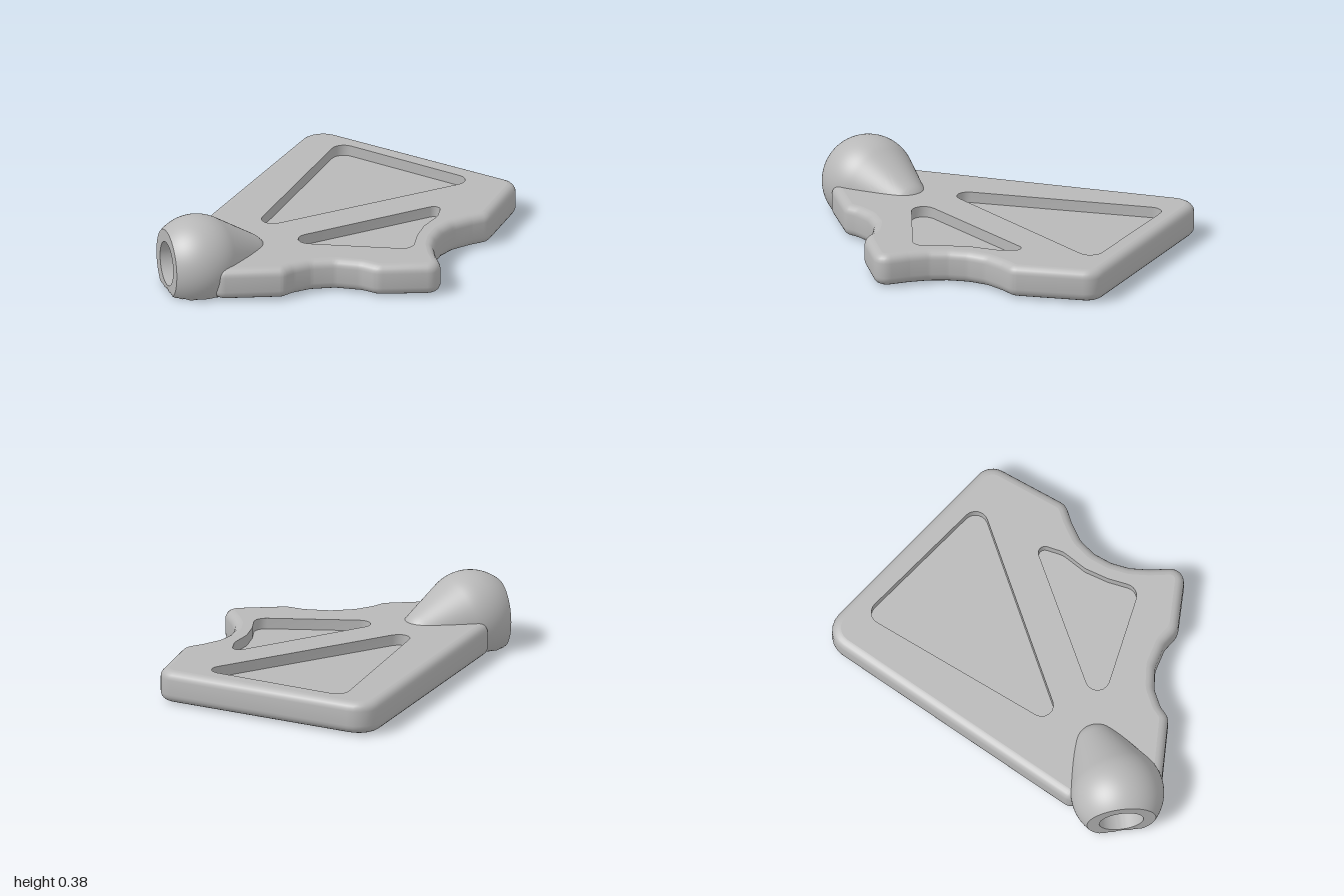
import * as THREE from 'three';
import { toCreasedNormals } from 'three/addons/utils/BufferGeometryUtils.js';

const V2 = (x, y) => new THREE.Vector2(x, y);

// Closed polygon of [x, z, radius] corners, each replaced by a circular arc
function roundPolygon(corners, steps = 6) {
  const out = [];
  const n = corners.length;
  corners.forEach(([x, z, radius = 0.1], i) => {
    const p = V2(x, z);
    const toPrev = V2(...corners[(i + n - 1) % n].slice(0, 2)).sub(p);
    const toNext = V2(...corners[(i + 1) % n].slice(0, 2)).sub(p);
    const reach = 0.45 * Math.min(toPrev.length(), toNext.length());
    toPrev.normalize();
    toNext.normalize();
    const half = Math.acos(THREE.MathUtils.clamp(toPrev.dot(toNext), -1, 1)) / 2;
    const t = Math.min(radius / Math.tan(half), reach);
    const r = t * Math.tan(half);
    const centre = toPrev.clone().add(toNext).normalize().multiplyScalar(r / Math.sin(half)).add(p);
    const start = p.clone().addScaledVector(toPrev, t).sub(centre);
    const end = p.clone().addScaledVector(toNext, t).sub(centre);
    const sweep = Math.atan2(start.cross(end), start.dot(end));
    for (let k = 0; k <= steps; k++) {
      out.push(start.clone().rotateAround(V2(0, 0), sweep * k / steps).add(centre));
    }
  });
  return out;
}

// Moves a contour inward by d
function inset(points, d) {
  const n = points.length;
  return points.map((p, i) => {
    const a = p.clone().sub(points[(i + n - 1) % n]).normalize();
    const b = points[(i + 1) % n].clone().sub(p).normalize();
    const m = V2(-a.y - b.y, a.x + b.x).normalize();
    return p.clone().addScaledVector(m, d / Math.max(0.5, -m.x * a.y + m.y * a.x));
  });
}

const ringAt = (points, y) => points.map((p) => new THREE.Vector3(p.x, y, p.y));

// Skin over a list of closed rings with equal point counts
function loft(rings, crease = 0.6) {
  const pos = [];
  const n = rings[0].length;
  for (let i = 0; i < rings.length - 1; i++) {
    for (let j = 0; j < n; j++) {
      const k = (j + 1) % n;
      const a = rings[i][j], b = rings[i][k], c = rings[i + 1][k], d = rings[i + 1][j];
      for (const v of [a, d, b, b, d, c]) pos.push(v.x, v.y, v.z);
    }
  }
  const g = new THREE.BufferGeometry();
  g.setAttribute('position', new THREE.Float32BufferAttribute(pos, 3));
  return toCreasedNormals(g, crease);
}

// Flat horizontal face, looking up or down
function flat(points, y, up = true, holes = []) {
  const s = up ? -1 : 1;
  const conv = (pts) => pts.map((p) => V2(p.x, s * p.y));
  const shape = new THREE.Shape(conv(points));
  holes.forEach((h) => shape.holes.push(new THREE.Path(conv(h))));
  return new THREE.ShapeGeometry(shape).rotateX(s * Math.PI / 2).translate(0, y, 0);
}

// Ball blended into a small tip ball, cut flat at the end and below, with a blind bore
function knobGeometry() {
  const C = new THREE.Vector3(-0.84, 0.145, 0.43), R = 0.24;
  const tip = new THREE.Vector3(-0.57, 0.1, 0.36), r = 0.13;
  const axis = tip.clone().sub(C);
  const L = axis.length();
  axis.normalize();
  const beta = Math.acos((R - r) / L);
  const touch = Math.atan2(r * Math.sin(beta), L + r * Math.cos(beta));
  const cut = 0.16, bore = 0.115, depth = 0.1, seg = 72;

  const surface = (dir) => {
    const a = Math.acos(THREE.MathUtils.clamp(dir.dot(axis), -1, 1));
    let d = R;
    if (a < touch) d = L * Math.cos(a) + Math.sqrt(Math.max(0, r * r - (L * Math.sin(a)) ** 2));
    else if (a < beta) d = R / Math.cos(beta - a);
    if (dir.x < 0) d = Math.min(d, cut / -dir.x);
    if (dir.y < 0) d = Math.min(d, C.y / -dir.y);
    return dir.clone().multiplyScalar(d).add(C);
  };
  const ring = (fn) => Array.from({ length: seg }, (_, j) => {
    const f = j / seg * Math.PI * 2;
    return fn(Math.cos(f), -Math.sin(f));
  });
  const boreRing = (x, rad) => ring((y, z) => new THREE.Vector3(x, C.y + y * rad, C.z + z * rad));

  const rings = [boreRing(-1 + depth, 0), boreRing(-1 + depth, bore), boreRing(-1, bore)];
  const edge = Math.acos(cut / R);
  const angles = [0.3, 0.6, 0.8].map((t) => THREE.MathUtils.lerp(Math.atan(bore / cut), edge, t));
  for (let i = 0; i <= 44; i++) angles.push(edge + (Math.PI - edge) * i / 44);
  angles.forEach((t) => rings.push(ring((y, z) =>
    surface(new THREE.Vector3(-Math.cos(t), y * Math.sin(t), z * Math.sin(t))))));
  return loft(rings, 0.5);
}

export function createModel() {
  const group = new THREE.Group();
  const grey = new THREE.MeshStandardMaterial({ color: 0xb8b8b8 });
  grey.name = 'grey';
  const add = (name, geometry) => {
    const mesh = new THREE.Mesh(geometry, grey);
    mesh.name = name;
    group.add(mesh);
  };

  // Plate outline and its two recesses, as x, z, corner radius
  const outline = roundPolygon([
    [0.22, -0.977, 0.125], [1.029, 0.004, 0.1], [0.755, 0.368, 0.08],
    [0.66, 0.385], [0.55, 0.42], [0.47, 0.48], [0.41, 0.56], [0.37, 0.65], [0.35, 0.75],
    [0.335, 0.935, 0.1], [0.0, 0.85], [-0.065, 0.775], [-0.18, 0.71], [-0.3, 0.69], [-0.4, 0.71],
    [-0.465, 0.742, 0.06], [-0.8, 0.665, 0.06], [-0.85, 0.176, 0.06],
  ]);
  const recesses = {
    large: roundPolygon([[0.28, -0.74, 0.065], [0.82, -0.065, 0.065], [-0.48, 0.195, 0.06]]),
    small: roundPolygon([[0.56, 0.178, 0.065], [0.49, 0.32], [0.385, 0.42], [0.315, 0.53],
      [0.245, 0.685, 0.065], [-0.42, 0.385, 0.062]]),
  };

  // Rounded plate edge
  const y0 = 0.007, y1 = 0.175, bevel = 0.045, steps = 5;
  const rings = [];
  for (let i = 0; i <= steps; i++) {
    const a = i / steps * Math.PI / 2;
    rings.push(ringAt(inset(outline, bevel * (1 - Math.sin(a))), y0 + bevel * (1 - Math.cos(a))));
  }
  for (let i = steps; i >= 0; i--) {
    const a = i / steps * Math.PI / 2;
    rings.push(ringAt(inset(outline, bevel * (1 - Math.sin(a))), y1 - bevel * (1 - Math.cos(a))));
  }
  add('plateEdge', loft(rings));
  add('plateTop', flat(inset(outline, bevel), y1, true, Object.values(recesses)));
  add('plateBottom', flat(inset(outline, bevel), y0, false));

  // Sunken panels
  const floorY = 0.118;
  for (const [name, points] of Object.entries(recesses)) {
    add(name + 'RecessWall', loft([ringAt(points, y1), ringAt(points, floorY)]));
    add(name + 'RecessFloor', flat(points, floorY));
  }

  // Teardrop socket at the corner
  add('socketKnob', knobGeometry());
  return group;
}
